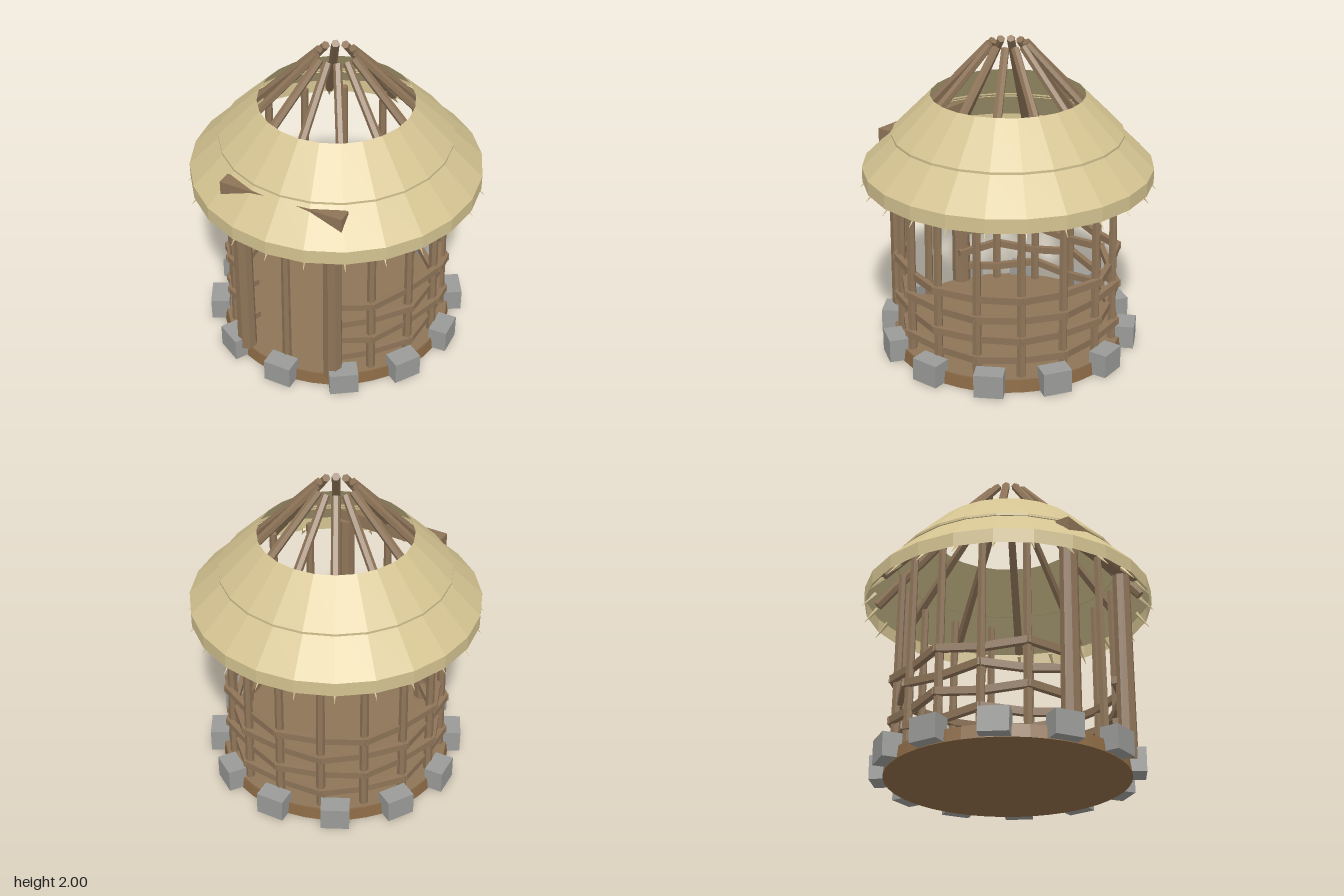
import * as THREE from 'three';

const material = (name, color, extra = {}) => {
  const m = new THREE.MeshStandardMaterial({ color, flatShading: true, ...extra });
  m.name = name;
  return m;
};

// Point on a ring: angle 0 faces the front (+z)
const ring = (r, y, a) => new THREE.Vector3(r * Math.sin(a), y, r * Math.cos(a));

export function createModel() {
  const wood = material('wood', 0x8e7458);
  const earth = material('earth', 0x8b6a45);
  const stone = material('stone', 0x9a9a98);
  const thatch = material('thatch', 0xd4c391, { side: THREE.DoubleSide });

  const model = new THREE.Group();
  model.name = 'roundHut';

  const group = (name) => {
    const g = new THREE.Group();
    g.name = name;
    model.add(g);
    return g;
  };
  const add = (parent, name, geometry, mat) => {
    const mesh = new THREE.Mesh(geometry, mat);
    mesh.name = name;
    parent.add(mesh);
    return mesh;
  };
  // Round pole between two points
  const pole = (parent, name, a, b, r0, r1, sides, mat) => {
    const dir = b.clone().sub(a);
    const mesh = add(parent, name, new THREE.CylinderGeometry(r1, r0, dir.length(), sides), mat);
    mesh.position.copy(a).lerp(b, 0.5);
    mesh.quaternion.setFromUnitVectors(new THREE.Vector3(0, 1, 0), dir.normalize());
    return mesh;
  };

  // Earth platform with a wooden floor on top
  add(model, 'platform', new THREE.CylinderGeometry(0.74, 0.75, 0.08, 48), earth).position.y = 0.04;
  add(model, 'floor', new THREE.CylinderGeometry(0.735, 0.735, 0.004, 48), wood).position.y = 0.081;

  // Foundation stones
  const stones = group('foundationStones');
  for (let i = 0; i < 12; i++) {
    const a = (i * Math.PI) / 6;
    const s = add(stones, 'stone', new THREE.BoxGeometry(0.18, 0.15, 0.12), stone);
    s.position.copy(ring(0.77, 0.08, a));
    s.rotation.set(0, a + 0.06 * Math.sin(i * 2.3), 0.02 * Math.sin(i * 1.7));
  }

  // Wall posts, leaning slightly inward
  const N = 16;
  const step = (Math.PI * 2) / N;
  const posts = group('wallPosts');
  for (let i = 0; i < N; i++) {
    if (i === 1 || i === N - 1) continue;
    pole(posts, 'post', ring(0.69, 0.08, i * step), ring(0.675, 1.32, i * step), 0.029, 0.025, 6, wood);
  }

  // Woven rails, left open at the doorway
  const rails = group('wovenRails');
  for (let level = 0; level < 4; level++) {
    const knot = (i) => {
      const s = (i + level) % 2 ? 1 : -1;
      return ring(0.69 + 0.025 * s, 0.19 + level * 0.135 + 0.01 * s, i * step);
    };
    for (let i = 1; i < N - 1; i++) {
      const a = knot(i), b = knot(i + 1);
      const rail = add(rails, 'rail', new THREE.BoxGeometry(0.035, 0.045, a.distanceTo(b) + 0.03), wood);
      rail.position.copy(a).lerp(b, 0.5);
      rail.lookAt(b);
    }
  }

  // Door frame; the lintel ends poke through the thatch
  const door = group('doorFrame');
  for (const s of [-1, 1]) {
    pole(door, 'doorPost', new THREE.Vector3(0.308 * s, 0.08, 0.66),
      new THREE.Vector3(0.305 * s, 1.32, 0.66), 0.062, 0.056, 8, wood);
  }
  add(door, 'lintel', new THREE.BoxGeometry(0.8, 0.09, 0.09), wood).position.set(0, 1.345, 0.68);

  // Rafters meeting around the open peak
  const rafters = group('rafters');
  for (let i = 0; i < 12; i++) {
    const a = (i * Math.PI) / 6;
    pole(rafters, 'rafter', ring(0.84, 1.2, a), ring(0.115, 1.981, a), 0.03, 0.026, 6, wood);
  }

  // Two overlapping thatch tiers
  const tier = (name, profile) =>
    add(model, name, new THREE.LatheGeometry(profile.map(([r, y]) => new THREE.Vector2(r, y)), 24), thatch);
  tier('lowerThatch', [[0.91, 1.13], [0.91, 1.22], [0.7, 1.428]]);
  tier('upperThatch', [[0.7, 1.415], [0.722, 1.415], [0.722, 1.43], [0.48, 1.672]]);

  // Loose straw tips under the eaves
  const straw = group('strawTips');
  for (let i = 0; i < 24; i++) {
    const a = (i * Math.PI) / 12;
    pole(straw, 'straw', ring(0.84, 1.18, a), ring(0.925, 1.087, a), 0.014, 0.001, 4, thatch);
  }

  return model;
}
